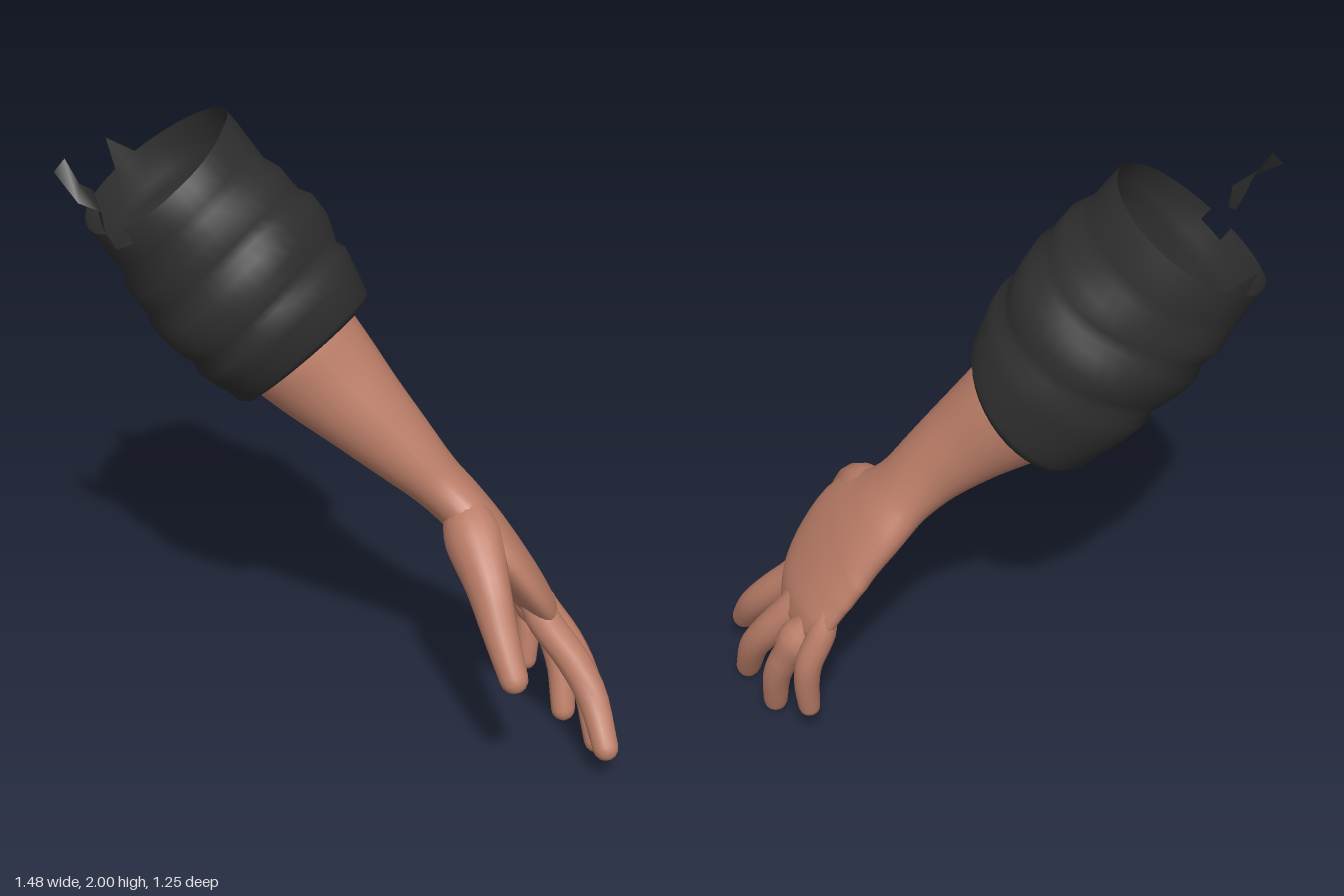
import * as THREE from 'three';

const skin = new THREE.MeshStandardMaterial({ color: 0xbd7f69 });
skin.name = 'skin';
const cloth = new THREE.MeshStandardMaterial({ color: 0x2f2f2f, side: THREE.DoubleSide });
cloth.name = 'darkCloth';

const V = (x, y, z) => new THREE.Vector3(x, y, z);

// Joins rings of vertices into a smooth skin; keep(i, j) may leave out quads
function stitch(rings, caps, keep = () => true) {
  const n = rings[0].length, pos = [], idx = [];
  rings.forEach(r => r.forEach(p => pos.push(p.x, p.y, p.z)));
  for (let i = 0; i < rings.length - 1; i++) for (let j = 0; j < n; j++) {
    if (!keep(i, j)) continue;
    const k = (j + 1) % n, a = i * n + j, b = i * n + k;
    idx.push(a, b, a + n, b, b + n, a + n);
  }
  if (caps) [0, rings.length - 1].forEach((ri, end) => {
    const c = V(0, 0, 0);
    rings[ri].forEach(p => c.addScaledVector(p, 1 / n));
    const ci = pos.length / 3;
    pos.push(c.x, c.y, c.z);
    for (let j = 0; j < n; j++) {
      const a = ri * n + j, b = ri * n + (j + 1) % n;
      idx.push(...(end ? [ci, a, b] : [ci, b, a]));
    }
  });
  const g = new THREE.BufferGeometry();
  g.setAttribute('position', new THREE.Float32BufferAttribute(pos, 3));
  g.setIndex(idx);
  g.computeVertexNormals();
  return g;
}

// Ellipse around c, perpendicular to d, its first axis leaning towards hint
function ring(c, d, hint, hw, ht, n) {
  const u = hint.clone().addScaledVector(d, -hint.dot(d)).normalize();
  const v = d.clone().cross(u);
  return Array.from({ length: n }, (_, j) => {
    const a = j / n * Math.PI * 2;
    return c.clone().addScaledVector(u, hw * Math.cos(a)).addScaledVector(v, ht * Math.sin(a));
  });
}

// Loft through sections [x, y, z, halfWidth, halfThickness] with a rounded end
function limb(name, sections, hint, n, steps) {
  const path = new THREE.CatmullRomCurve3(sections.map(s => V(s[0], s[1], s[2])));
  const size = new THREE.CatmullRomCurve3(sections.map(s => V(s[3], s[4] ?? s[3], 0)));
  const rings = [];
  for (let i = 0; i <= steps; i++) {
    const t = i / steps, r = size.getPoint(t);
    rings.push(ring(path.getPoint(t), path.getTangent(t), hint, r.x, r.y, n));
  }
  const end = path.getPoint(1), d = path.getTangent(1), r = size.getPoint(1);
  for (const a of [0.45, 0.9, 1.3]) {
    const c = end.clone().addScaledVector(d, r.y * Math.sin(a));
    rings.push(ring(c, d, hint, r.x * Math.cos(a), r.y * Math.cos(a), n));
  }
  const m = new THREE.Mesh(stitch(rings, true), skin);
  m.name = name;
  return m;
}

function makeSleeve() {
  const from = V(-0.02, 1.26, -0.165), to = V(-0.42, 1.85, -0.37);
  const axis = to.clone().sub(from), d = axis.clone().normalize();
  const n = 40, rings = [];
  // Folded profile: position along the sleeve, radius
  const profile = [
    [0.09, 0.2], [0.02, 0.213], [0, 0.232], [0.03, 0.248], [0.1, 0.26], [0.18, 0.277], [0.27, 0.288],
    [0.31, 0.272], [0.36, 0.285], [0.43, 0.298], [0.52, 0.298], [0.57, 0.28], [0.62, 0.282],
    [0.7, 0.283], [0.77, 0.264], [0.83, 0.265], [0.92, 0.262], [1, 0.255],
  ];
  const last = profile.length - 2;
  profile.forEach(([t, r], i) => {
    const pts = ring(V(0, 0, 0), d, V(0, 0, 1), r, r, n);
    const body = Math.min(1, t * 4, (1 - t) * 4);
    const top = Math.max(0, t * 5 - 4);
    pts.forEach((p, j) => {
      const a = j / n * Math.PI * 2;
      const upper = Math.max(0, Math.sin(a)), frontLow = Math.max(0, Math.cos(a + 0.6));
      // folds run obliquely round the arm
      p.multiplyScalar(1 + body * (0.02 * Math.sin(2 * a + t * 9) + 0.012 * Math.sin(5 * a - t * 14)) + 0.05 * top * upper);
      // the cuff rides higher at the front, the upper rim sits lower there
      let s = t + body * 0.035 * Math.sin(a * 2 + 1) + (0.01 + 0.08 * Math.cos(a)) * Math.max(0, 1 - t * 3);
      s -= top * (0.02 * upper + 0.055 * frontLow);
      // one pulled-up point on the rim
      if (i > last && j === 21) s += 0.12;
      p.add(from).addScaledVector(axis, s);
    });
    rings.push(pts);
  });
  // slit in the upper rim and a small notch in the cuff
  const torn = (i, j) => (i === last && j >= 33 && j <= 34) || (i < 5 && j >= 24 && j <= 25);
  const m = new THREE.Mesh(stitch(rings, false, (i, j) => !torn(i, j)), cloth);
  m.name = 'sleeve';
  return m;
}

// Loose scrap beside the torn rim
function makeScrap() {
  const a = [[-0.74, 1.92, -0.29], [-0.7, 1.85, -0.21], [-0.64, 1.82, -0.19], [-0.63, 1.75, -0.19]];
  const b = [[-0.71, 1.96, -0.28], [-0.68, 1.89, -0.25], [-0.63, 1.85, -0.28], [-0.625, 1.77, -0.24]];
  const g = new THREE.BufferGeometry();
  g.setAttribute('position', new THREE.Float32BufferAttribute([...a, ...b].flat(), 3));
  g.setIndex([0, 1, 2].flatMap(i => [i, i + 1, i + 4, i + 1, i + 5, i + 4]));
  g.computeVertexNormals();
  const m = new THREE.Mesh(g, cloth);
  m.name = 'sleeveScrap';
  return m;
}

export function createModel() {
  const model = new THREE.Group();
  model.name = 'armWithSleeve';

  // Forearm, wrist and palm in one loft
  model.add(limb('forearmAndPalm', [
    [-0.09, 1.34, -0.195, 0.2, 0.195],
    [-0.04, 1.275, -0.16, 0.193, 0.185],
    [0.02, 1.2, -0.115, 0.172, 0.168],
    [0.11, 1.09, -0.045, 0.145, 0.137],
    [0.21, 0.97, 0.02, 0.125, 0.108],
    [0.285, 0.88, 0.055, 0.125, 0.088],
    [0.36, 0.79, 0.09, 0.163, 0.08],
    [0.44, 0.675, 0.155, 0.213, 0.073],
    [0.51, 0.565, 0.175, 0.21, 0.066],
    [0.565, 0.475, 0.172, 0.187, 0.058],
    [0.59, 0.425, 0.17, 0.165, 0.045],
  ], V(-0.12, 0.05, 1), 28, 40));

  // Fingers run from inside the palm to the tip
  const fingers = {
    indexFinger: [[0.5, 0.58, 0.27, 0.028], [0.54, 0.46, 0.318, 0.052], [0.6, 0.35, 0.395, 0.051],
      [0.635, 0.25, 0.47, 0.048], [0.635, 0.117, 0.573, 0.04]],
    middleFinger: [[0.54, 0.55, 0.19, 0.028], [0.595, 0.43, 0.212, 0.05], [0.655, 0.32, 0.265, 0.051],
      [0.69, 0.2, 0.34, 0.047], [0.685, 0.04, 0.43, 0.039]],
    ringFinger: [[0.555, 0.54, 0.09, 0.026], [0.6, 0.42, 0.105, 0.047], [0.655, 0.31, 0.14, 0.047],
      [0.678, 0.19, 0.19, 0.044], [0.67, 0.043, 0.24, 0.038]],
    littleFinger: [[0.555, 0.54, 0.025, 0.024], [0.59, 0.44, 0.026, 0.043], [0.63, 0.34, 0.035, 0.042],
      [0.635, 0.25, 0.05, 0.04], [0.625, 0.138, 0.066, 0.034]],
  };
  for (const [name, s] of Object.entries(fingers)) model.add(limb(name, s, V(0, 0, 1), 14, 14));

  // Thumb, wide at the base where it joins the palm
  model.add(limb('thumb', [
    [0.345, 0.83, 0.1, 0.04, 0.05], [0.34, 0.745, 0.235, 0.086, 0.1], [0.322, 0.66, 0.37, 0.065, 0.08],
    [0.317, 0.555, 0.465, 0.053, 0.057], [0.322, 0.44, 0.553, 0.043, 0.044],
  ], V(1, 0, 0), 16, 16));

  model.add(makeSleeve(), makeScrap());
  return model;
}
